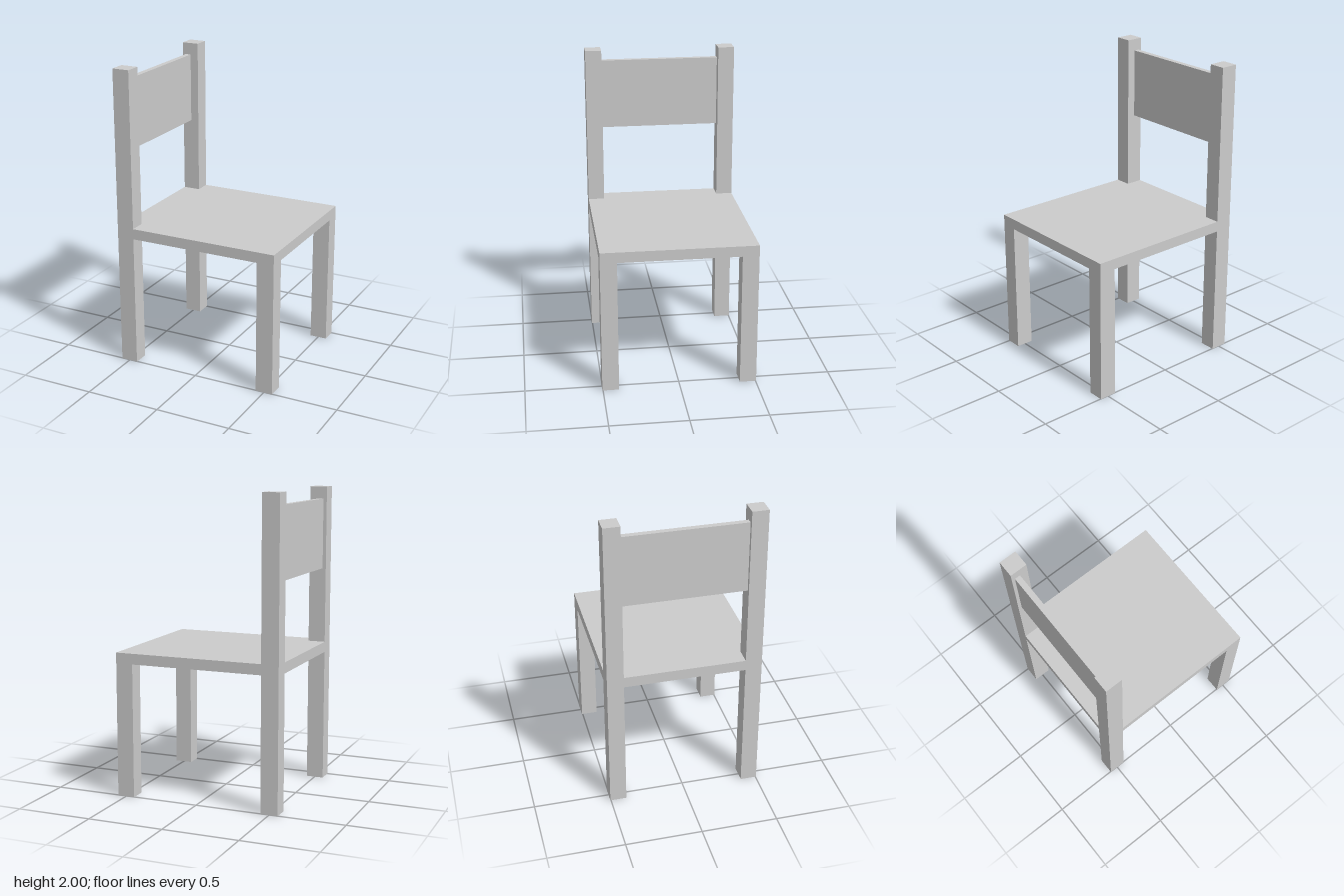
import * as THREE from 'three';

const HX = 0.558, HZ = 0.504;          // half footprint
const LX = 0.115, LZ = 0.108;          // leg section
const SEAT_TOP = 0.955, SEAT_BOTTOM = 0.885;

export function createModel() {
  const chair = new THREE.Group();
  chair.name = 'chair';
  const mat = new THREE.MeshStandardMaterial({ color: 0xcccccc, flatShading: true, side: THREE.DoubleSide });

  const add = (name, geometry, x, y, z) => {
    const mesh = new THREE.Mesh(geometry, mat);
    mesh.name = name;
    mesh.position.set(x, y, z);
    chair.add(mesh);
  };

  // Hollow square post, open at the foot and optionally at the top
  const post = (height, capped) => {
    const g = new THREE.BoxGeometry(LX, height, LZ);
    const index = Array.from(g.index.array);
    index.splice(capped ? 18 : 12, capped ? 6 : 12);
    g.setIndex(index);
    g.clearGroups();
    return g;
  };

  // Legs: the rear pair runs up to carry the backrest
  for (const s of [1, -1]) {
    const side = s > 0 ? 'Near' : 'Far';
    const z = s * (HZ - LZ / 2);
    add('backPost' + side, post(2, true), -HX + LX / 2, 1, z);
    add('frontLeg' + side, post(SEAT_BOTTOM, false), HX - LX / 2, SEAT_BOTTOM / 2, z);
  }

  // Seat slab, notched around the rear posts
  const plan = new THREE.Shape([
    [HX, -HZ], [HX, HZ], [-HX + LX, HZ], [-HX + LX, HZ - LZ],
    [-HX, HZ - LZ], [-HX, -HZ + LZ], [-HX + LX, -HZ + LZ], [-HX + LX, -HZ],
  ].map(([x, z]) => new THREE.Vector2(x, z)));
  const seat = new THREE.ExtrudeGeometry(plan, { depth: SEAT_TOP - SEAT_BOTTOM, bevelEnabled: false });
  seat.rotateX(Math.PI / 2);
  add('seat', seat, 0, SEAT_TOP, 0);

  // Backrest panel between the posts
  add('backrest', new THREE.BoxGeometry(0.037, 0.465, 2 * (HZ - LZ)), -0.517, 1.688, 0);

  return chair;
}
